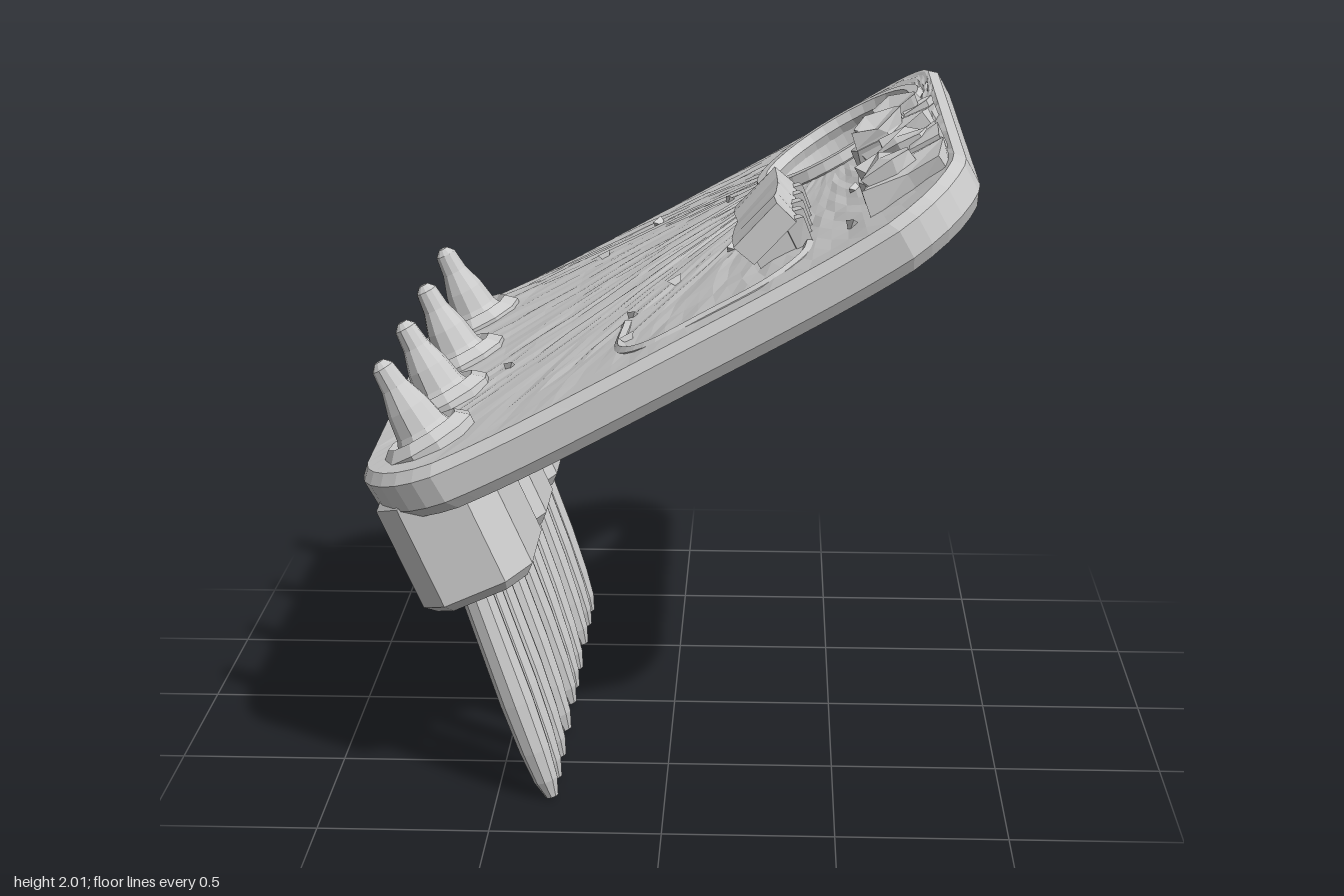
import * as THREE from 'three';

const THICK = 0.15;
const HOLE = { u: 0.616, z: -0.45, r: 0.265 };

// the board sags slightly in the middle along its length
const sag = u => -0.052 * (1 - Math.pow(u / 0.99, 4));
// repeatable small noise in -1..1
const noise = (a, b, c) => {
  const s = Math.sin(a * 127.1 + b * 311.7 + c * 74.7) * 43758.5453;
  return (s - Math.floor(s)) * 2 - 1;
};
const round = v => Math.round(v * 1000) / 1000;

export function createModel() {
  const model = new THREE.Group();
  const mat = new THREE.MeshStandardMaterial({ color: 0xcccccc, flatShading: true });
  const add = (parent, name, geo, x = 0, y = 0, z = 0) => {
    const mesh = new THREE.Mesh(geo, mat);
    mesh.name = name;
    mesh.position.set(x, y, z);
    parent.add(mesh);
    return mesh;
  };

  // everything on the tilted board shares its frame
  const board = new THREE.Group();
  board.name = 'boardAssembly';
  board.position.set(0, 1.43, 0);
  board.rotation.set(0.026, 0, THREE.MathUtils.degToRad(29));
  model.add(board);
  add(board, 'board', boardGeometry());
  const surface = u => THICK / 2 + sag(u);

  // raised rim round the hole
  const rim = new THREE.TorusGeometry(0.283, 0.034, 6, 32);
  rim.rotateX(Math.PI / 2);
  add(board, 'holeRim', rim, HOLE.u, surface(HOLE.u) + 0.005, HOLE.z)
    .rotation.z = 0.04;

  // solder rings with tapered posts
  const postProfile = [[0, -0.03], [0.145, -0.03], [0.15, 0.02], [0.115, 0.05], [0.09, 0.035],
    [0.078, 0.06], [0.065, 0.13], [0.042, 0.2], [0.034, 0.265], [0.015, 0.285], [0, 0.285]]
    .map(p => new THREE.Vector2(...p));
  [-0.65, -0.165, 0.265, 0.67].forEach((z, i) => {
    const post = add(board, 'solderPost', new THREE.LatheGeometry(postProfile, 11), -0.765, surface(-0.765) - 0.01, z);
    post.rotation.set(0, i * 0.7, -0.06);
  });

  // chip, raised on one side by its row of legs
  const chip = add(board, 'chip', roughBox(0.17, 0.08, 0.52, 1, 1, 5, 0.007), 0.38, surface(0.38) + 0.085, 0.37);
  chip.rotation.z = 0.28;
  add(board, 'chipBase', new THREE.BoxGeometry(0.12, 0.12, 0.46), 0.38, surface(0.38) + 0.02, 0.37);
  for (let i = 0; i < 5; i++) {
    add(board, 'chipLeg', roughBox(0.06, 0.1, 0.045, 1, 1, 1, 0.008), 0.465, surface(0.465) + 0.03, 0.17 + i * 0.105);
  }

  // crumpled connectors near the far edge: a base and uneven lobes
  const connector = (u, z, length, height) => {
    const g = new THREE.Group();
    g.name = 'connector';
    g.position.set(u, surface(u), z);
    board.add(g);
    add(g, 'connectorBase', roughBox(0.25, height * 0.8, length, 2, 1, 3, 0.022), 0, height * 0.25, 0);
    [-1, 1].forEach(s => {
      add(g, 'connectorLobe', roughBox(0.16, height, length * 0.36, 2, 2, 2, 0.02),
        -0.03 * s, height * 0.5, s * length * 0.27).rotation.y = 0.25 * s;
    });
    add(g, 'connectorTab', roughBox(0.1, height * 0.8, length * 0.3, 1, 1, 1, 0.015), 0.09, height * 0.4, -length * 0.1);
  };
  connector(0.81, 0.09, 0.19, 0.11);
  connector(0.81, 0.58, 0.29, 0.1);

  // faint raised track beside the chip
  const track = [[-0.13, 0.42], [-0.13, 0.7], [-0.04, 0.8], [0.15, 0.81], [0.36, 0.8], [0.46, 0.72], [0.48, 0.62]]
    .map(([u, z]) => new THREE.Vector3(u, surface(u) - 0.008, z));
  add(board, 'track', new THREE.TubeGeometry(new THREE.CatmullRomCurve3(track), 28, 0.02, 6));

  // small specks of solder
  [[-0.55, 0.22], [0.03, 0.23], [0.22, 0.18], [-0.11, 0.38], [-0.11, 0.63], [0.64, 0.3], [0.62, 0.7],
    [-0.28, -0.67], [-0.08, -0.76], [0.2, -0.52], [0.9, -0.2]].forEach(([u, z], i) => {
    const speck = add(board, 'speck', new THREE.TetrahedronGeometry(0.03), u, surface(u), z);
    speck.rotation.y = i;
  });

  // header blocks under the near edge: chamfered prisms, [centre z, length]
  [[0.625, 0.46], [0.19, 0.385], [-0.2, 0.375], [-0.615, 0.455]].forEach(([z, length]) => {
    const w = 0.145, l = length / 2 - 0.03, c = 0.06;
    const outline = new THREE.Shape([[w - c, -l], [w, -l + c], [w, l - c], [w - c, l],
      [c - w, l], [-w, l - c], [-w, c - l], [c - w, -l]].map(p => new THREE.Vector2(...p)));
    const geo = new THREE.ExtrudeGeometry(outline, {
      depth: 0.32, bevelEnabled: true, bevelSegments: 1, bevelSize: 0.03, bevelThickness: 0.03
    });
    geo.rotateX(-Math.PI / 2);
    geo.translate(0, 0.03, 0);
    add(model, 'headerBlock', geo, -0.53, 0.65, z).rotation.z = THREE.MathUtils.degToRad(24);
  });

  // pins with blunt tapered tips, [z at the block, z at the tip]
  const up = new THREE.Vector3(0, 1, 0);
  [[0.76, 0.76], [0.63, 0.625], [0.48, 0.462], [0.26, 0.255], [0.075, 0.035], [-0.11, -0.095],
    [-0.275, -0.26], [-0.485, -0.495], [-0.635, -0.675], [-0.77, -0.815]].forEach(([z0, z1]) => {
    const top = new THREE.Vector3(-0.565, 0.7, z0), tip = new THREE.Vector3(-0.335, 0.008, z1);
    const len = top.distanceTo(tip);
    const profile = [[0, 0], [0.02, 0.003], [0.037, 0.06], [0.046, 0.16], [0.051, 0.32], [0.047, len]]
      .map(p => new THREE.Vector2(...p));
    const pin = add(model, 'pin', new THREE.LatheGeometry(profile, 9), tip.x, tip.y, tip.z);
    pin.quaternion.setFromUnitVectors(up, top.sub(tip).normalize());
  });
  return model;
}

// box whose corners are nudged, for worn or crumpled parts
function roughBox(w, h, d, nw, nh, nd, amount) {
  const geo = new THREE.BoxGeometry(w, h, d, nw, nh, nd);
  const p = geo.attributes.position;
  for (let i = 0; i < p.count; i++) {
    const [x, y, z] = [round(p.getX(i)), round(p.getY(i)), round(p.getZ(i))];
    p.setXYZ(i, x + amount * noise(x, y, z), y + amount * noise(y, z, x), z + amount * noise(z, x, y));
  }
  geo.computeVertexNormals();
  return geo;
}

// rounded slab with a round hole: a closed profile swept from hole to outline
function boardGeometry() {
  const w = 0.985, h = 0.945, r = 0.24, t = THICK / 2;
  const s = new THREE.Shape();
  s.moveTo(r - w, -h);
  s.lineTo(w - r, -h);
  s.quadraticCurveTo(w - 0.05, 0.05 - h, w, r - h);
  s.lineTo(w, h - r);
  s.quadraticCurveTo(w - 0.05, h - 0.05, w - r, h);
  s.lineTo(r - w, h);
  s.quadraticCurveTo(0.05 - w, h - 0.05, -w, h - r);
  s.lineTo(-w, r - h);
  s.quadraticCurveTo(0.05 - w, 0.05 - h, r - w, -h);
  const outline = s.getSpacedPoints(112).slice(0, -1);

  // profile entries: share of the way to the outline, outline scale, height
  const profile = [];
  const steps = 11;
  for (let j = 0; j <= steps; j++) profile.push([j / steps, 0.975, t]);
  profile.push([1, 1, t - 0.03], [1, 1, -t + 0.035]);
  for (let j = steps; j >= 0; j--) profile.push([j / steps, 0.975, -t]);

  const pos = [], index = [];
  const n = outline.length, m = profile.length;
  outline.forEach((o, i) => {
    const dir = new THREE.Vector2(o.x - HOLE.u, o.y - HOLE.z).normalize();
    const hx = HOLE.u + dir.x * HOLE.r, hz = HOLE.z + dir.y * HOLE.r;
    profile.forEach(([f, k, y], j) => {
      const x = hx + (o.x * k - hx) * f, z = hz + (o.y * k - hz) * f;
      const rough = f > 0 && f < 1 ? 0.004 * noise(i, j, 1) : 0;
      pos.push(x, y + sag(x) + rough, z);
      const i2 = (i + 1) % n, j2 = (j + 1) % m;
      const a = i * m + j, b = i * m + j2, c = i2 * m + j2, d = i2 * m + j;
      index.push(a, d, b, b, d, c);
    });
  });
  const geo = new THREE.BufferGeometry();
  geo.setAttribute('position', new THREE.Float32BufferAttribute(pos, 3));
  geo.setIndex(index);
  geo.computeVertexNormals();
  return geo;
}
